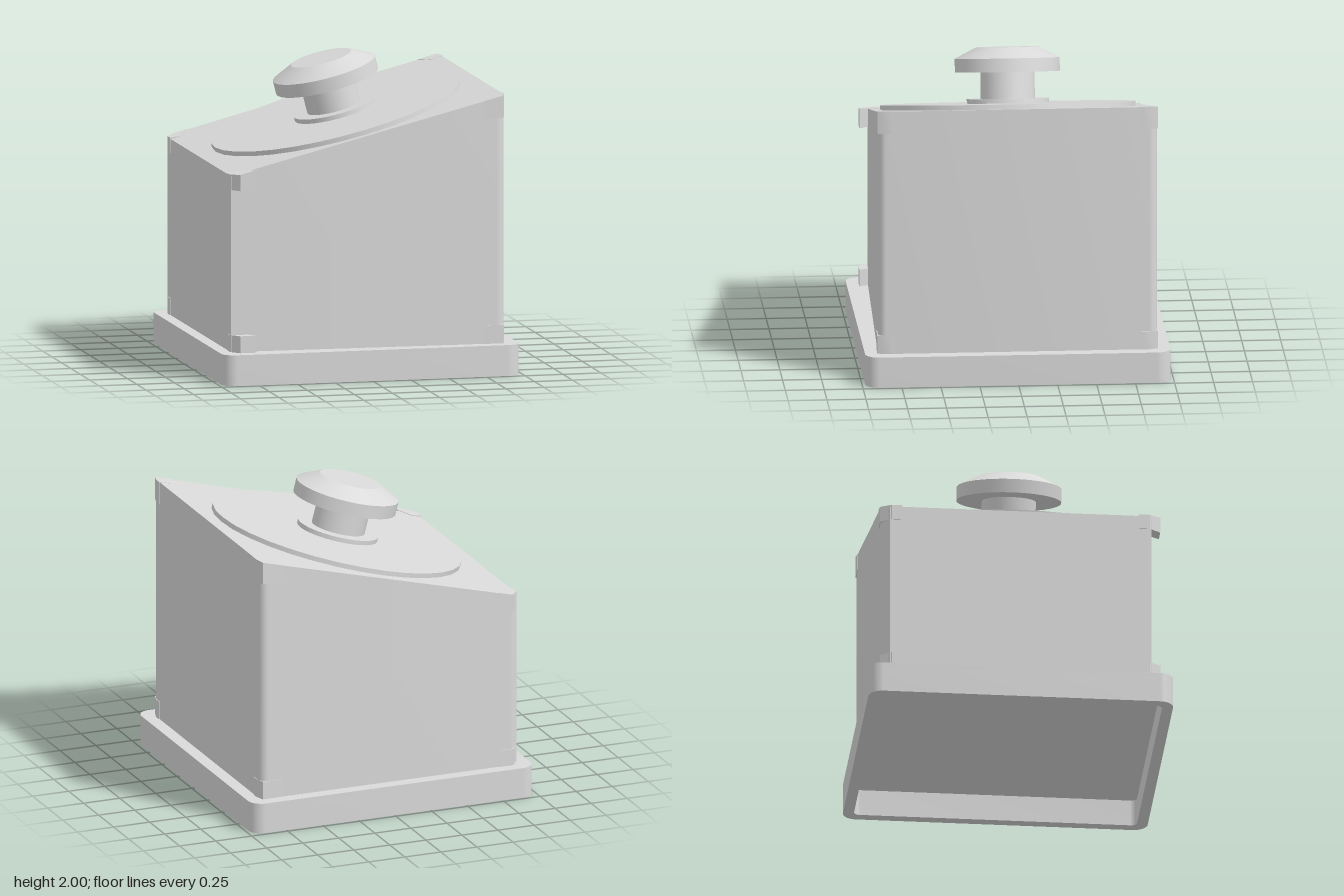
import * as THREE from 'three';
import { toCreasedNormals } from 'three/addons/utils/BufferGeometryUtils.js';

const SLOPE = 0.26, MID = 1.575;
const topAt = (x) => MID + SLOPE * x;

// Square plan outline with rounded corners
function plan(half, r) {
  const s = new THREE.Shape(), c = half - r;
  [[c, -c], [c, c], [-c, c], [-c, -c]].forEach(([x, y], i) => {
    s.absarc(x, y, r, (i - 1) * Math.PI / 2, i * Math.PI / 2, false);
  });
  s.closePath();
  return s;
}

// Housing outline: rounded high (+x) corners, chamfered low (-x) corners
function housingPlan() {
  const s = new THREE.Shape();
  s.moveTo(-0.845, -0.896);
  s.absarc(0.84, -0.841, 0.055, -Math.PI / 2, 0, false);
  s.absarc(0.84, 0.841, 0.055, 0, Math.PI / 2, false);
  s.lineTo(-0.845, 0.896);
  s.lineTo(-0.902, 0.84);
  s.lineTo(-0.902, -0.84);
  s.closePath();
  return s;
}

// Upright prism from y0 to y1; y1 may be a function of x
function prism(shape, y0, y1) {
  const g = new THREE.ExtrudeGeometry(shape, { depth: 1, bevelEnabled: false, curveSegments: 8 });
  g.rotateX(-Math.PI / 2);
  const p = g.attributes.position;
  for (let i = 0; i < p.count; i++) {
    const top = typeof y1 === 'function' ? y1(p.getX(i)) : y1;
    p.setY(i, p.getY(i) > 0.5 ? top : y0);
  }
  return toCreasedNormals(g, 0.5);
}

export function createModel() {
  const model = new THREE.Group();
  const grey = new THREE.MeshStandardMaterial({ color: 0xdadada });
  grey.name = 'light grey';
  const add = (name, geometry, parent = model) => {
    const mesh = new THREE.Mesh(geometry, grey);
    mesh.name = name;
    parent.add(mesh);
    return mesh;
  };

  // Plinth, hollow underneath
  const rim = plan(0.98, 0.09);
  rim.holes.push(plan(0.91, 0.04));
  add('baseRim', prism(rim, 0, 0.175));
  add('basePlate', prism(plan(0.98, 0.09), 0.175, 0.2));

  // Housing with a sloping top
  add('housing', prism(housingPlan(), 0.2, topAt));

  // Corner brackets, top and bottom
  const low = [[-0.906, 0.76], [-0.906, 0.83], [-0.855, 0.901], [-0.755, 0.901], [-0.84, 0.76]];
  const high = [[0.9, 0.79], [0.9, 0.84], [0.88, 0.901], [0.75, 0.898], [0.82, 0.79]];
  for (const side of [1, -1]) {
    const outline = (pts) => new THREE.Shape(pts.map(([x, z]) => new THREE.Vector2(x, side * z)));
    add('lowTopBracket', prism(outline(low), 1.25, (x) => Math.max(1.35, topAt(x) + 0.003)));
    add('lowBottomBracket', prism(outline(low), 0.2, 0.31));
    add('highTopBracket', prism(outline(high), 1.66, (x) => topAt(x) + 0.002));
    add('highBottomBracket', prism(outline(high), 0.2, 0.32));
  }

  // Push button, square to the sloping top
  const button = new THREE.Group();
  button.name = 'button';
  button.position.y = MID;
  button.rotation.z = Math.atan(SLOPE);
  model.add(button);
  const disc = (name, r, y0, y1, rTop = r) => {
    const g = new THREE.CylinderGeometry(rTop, r, y1 - y0, 32);
    add(name, g, button).position.y = (y0 + y1) / 2;
  };
  disc('facePlate', 0.82, -0.005, 0.031);
  disc('collar', 0.264, 0.031, 0.06);
  disc('stem', 0.174, 0.06, 0.235);
  disc('capRim', 0.337, 0.232, 0.32);
  disc('capDome', 0.337, 0.32, 0.39, 0.199);

  return model;
}
